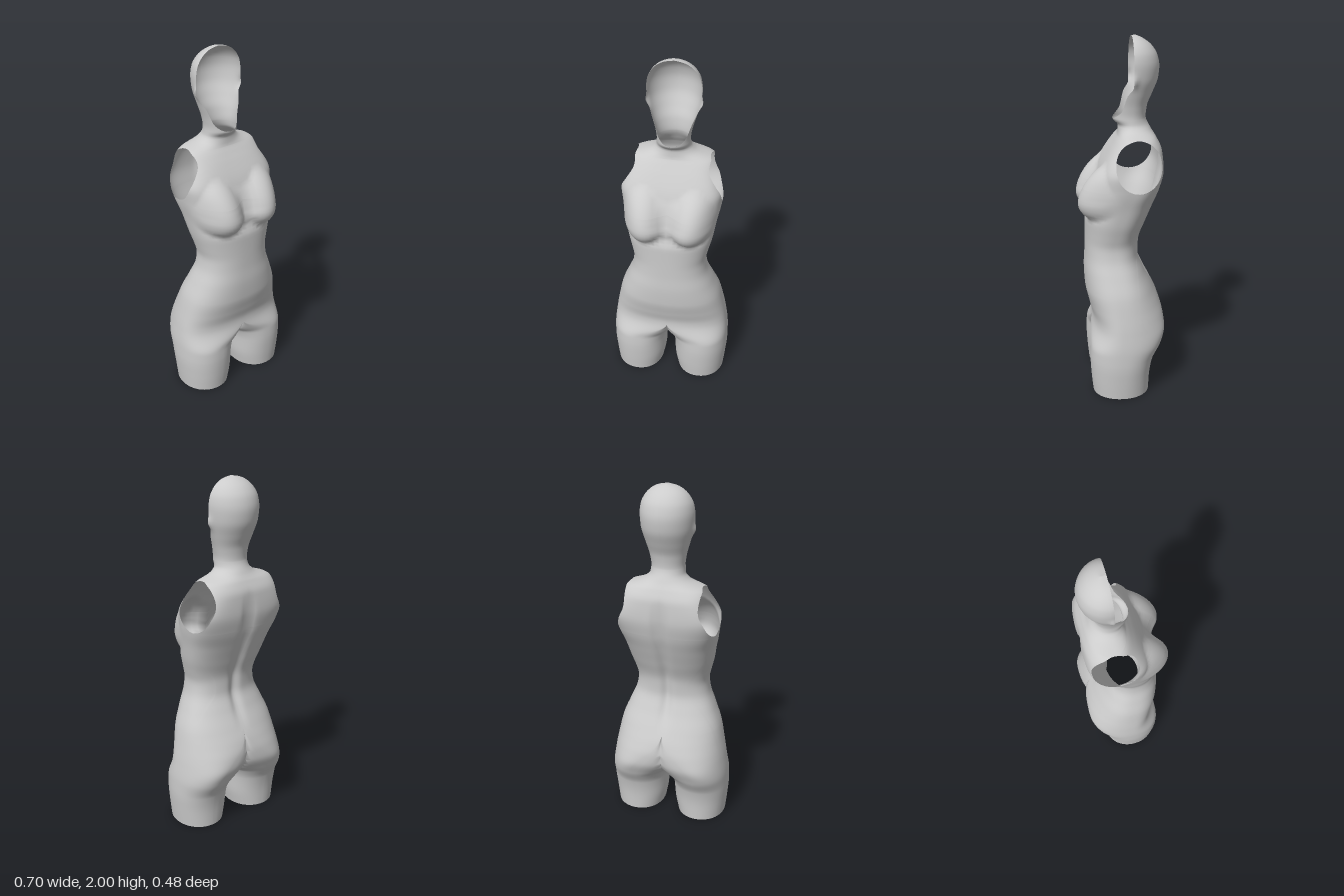
import * as THREE from 'three';

// Smooth monotone curve through [y, value] points
function curve(pts) {
  const n = pts.length, d = [], m = [];
  for (let i = 0; i < n - 1; i++) d.push((pts[i + 1][1] - pts[i][1]) / (pts[i + 1][0] - pts[i][0]));
  for (let i = 0; i < n; i++) {
    const a = d[Math.max(0, i - 1)], b = d[Math.min(n - 2, i)];
    m.push(a * b > 0 ? 2 * a * b / (a + b) : 0);
  }
  return (y) => {
    if (y <= pts[0][0]) return pts[0][1];
    if (y >= pts[n - 1][0]) return pts[n - 1][1];
    let i = 0;
    while (y > pts[i + 1][0]) i++;
    const h = pts[i + 1][0] - pts[i][0], t = (y - pts[i][0]) / h, u = 1 - t;
    return pts[i][1] * (1 + 2 * t) * u * u + h * m[i] * t * u * u
      + pts[i + 1][1] * t * t * (3 - 2 * t) - h * m[i + 1] * t * t * u;
  };
}

// Body outline by height: half width, front, back, depth of widest point, squareness
const width = curve([[0, .335], [.1, .345], [.2, .352], [.28, .35], [.4, .335], [.5, .316], [.6, .293], [.7, .253],
  [.8, .215], [.86, .208], [.92, .22], [1, .24], [1.1, .257], [1.2, .277], [1.28, .285], [1.35, .262], [1.41, .24],
  [1.455, .226], [1.47, .2], [1.485, .15], [1.5, .12], [1.53, .095], [1.57, .091], [1.62, .098], [1.7, .12],
  [1.78, .141], [1.85, .146], [1.9, .139], [1.94, .119], [1.97, .09], [1.99, .053], [2, 0]]);
const front = curve([[0, .18], [.1, .19], [.2, .195], [.3, .19], [.42, .173], [.5, .19], [.6, .211], [.7, .215],
  [.8, .21], [.9, .208], [1, .207], [1.05, .192], [1.1, .18], [1.2, .155], [1.3, .122], [1.4, .068], [1.44, .042],
  [1.48, .02], [1.52, .017], [1.56, .048], [1.9, .05], [2, -.02]]);
const back = curve([[0, -.14], [.1, -.145], [.2, -.162], [.3, -.21], [.39, -.235], [.45, -.23], [.52, -.211],
  [.6, -.175], [.7, -.125], [.8, -.092], [.88, -.096], [1, -.135], [1.1, -.172], [1.2, -.205], [1.3, -.221],
  [1.4, -.215], [1.46, -.19], [1.5, -.165], [1.57, -.135], [1.63, -.142], [1.7, -.17], [1.78, -.2], [1.84, -.206],
  [1.9, -.194], [1.95, -.162], [1.985, -.115], [2, -.08]]);
const middle = curve([[0, .02], [.3, .01], [.6, .02], [.85, .05], [1.1, 0], [1.25, -.06], [1.45, -.075],
  [1.55, -.055], [1.75, -.06], [2, -.06]]);
const power = curve([[0, 2.1], [.3, 2.2], [.7, 2.4], [.9, 2.3], [1.1, 2.6], [1.2, 3], [1.34, 3.8], [1.42, 3.2],
  [1.48, 2.2], [1.55, 2], [2, 2]]);
// Inner thigh and the rim of the open face
const thighInner = curve([[0, .05], [.1, .032], [.2, .027], [.27, .008], [.3, -.03], [.45, -.25]]);
const faceRim = curve([[1.56, .048], [1.57, .035], [1.605, .002], [1.69, -.024], [1.74, -.055], [2, -.055]]);

const step = THREE.MathUtils.smoothstep, lerp = THREE.MathUtils.lerp;
const bell = (v, c, r) => Math.exp(-(((v - c) / r) ** 2));
const ARM = { y: 1.335, z: -.075, ry: .135, rz: .125 };
const LEG_X = .19, NF = 24, NB = 24, NI = 24;

// Angle (0 at the front, PI at the back) where a section passes depth z
function angleAt(y, z) {
  const m = middle(y), d = z > m ? front(y) - m : m - back(y);
  const r = THREE.MathUtils.clamp((z - m) / Math.max(d, 1e-6), -1, 1);
  return Math.acos(Math.sign(r) * Math.pow(Math.abs(r), power(y) / 2));
}

// A point on the left half of the body; inner = the inside of the thigh
function bodyPoint(y, a, inner) {
  const c = Math.cos(a), s = Math.max(0, Math.sin(a)), e = 2 / power(y), m = middle(y), w = width(y);
  let z = m + Math.sign(c) * Math.pow(Math.abs(c), e) * (c > 0 ? front(y) - m : m - back(y));
  const side = Math.pow(s < 1e-9 ? 0 : s, e);
  let x = inner ? 0 : w * side;
  // Thighs merge into the hips, sooner in front than behind
  if (y < .6) {
    const merge = lerp(step(y, .3, .58), step(y, .27, .4), (c + 1) / 2);
    const leg = inner ? LEG_X - (LEG_X - thighInner(y)) * side : LEG_X + (w - LEG_X) * side;
    x = Math.max(0, lerp(leg, x, merge));
  }
  // Breasts
  const r2 = ((x - .14) / .125) ** 2 + ((y - 1.13) / (y < 1.13 ? .105 : .2)) ** 2;
  if (c > 0 && r2 < 1) z += .085 * Math.pow(1 - r2, y < 1.13 ? .75 : .9) * step(c, 0, .4);
  // Spine groove
  if (c < 0) z += .02 * bell(x, 0, .03) * step(y, .55, .75) * (1 - step(y, 1.25, 1.45));
  // Ears
  x += .012 * bell(y, 1.77, .03) * bell(z, -.06, .02);
  return [x, y, z];
}

// One half ring as three strips: front, back and inner thigh
function ring(y) {
  const half = ARM.rz * Math.sqrt(Math.max(0, 1 - ((y - ARM.y) / ARM.ry) ** 2));
  const start = y > 1.56 ? angleAt(y, faceRim(y)) : 0;
  const armFront = angleAt(y, ARM.z + half), armBack = angleAt(y, ARM.z - half);
  const strip = (n, a, b, inner) =>
    Array.from({ length: n + 1 }, (_, i) => bodyPoint(y, lerp(a, b, i / n), inner));
  return [strip(NF, start, armFront, false), strip(NB, armBack, Math.PI, false), strip(NI, Math.PI, 0, true)];
}

export function createModel() {
  // Heights of the rings, closer together where the form turns quickly
  const heights = [0];
  const rows = (n, from, to, ease = (t) => t) => {
    for (let i = 1; i <= n; i++) heights.push(lerp(from, to, ease(i / n)));
  };
  rows(8, 0, .2);
  rows(32, .2, .6);
  rows(32, .6, 1.2);
  rows(24, 1.2, 1.47, (t) => (1 - Math.cos(Math.PI * t)) / 2);
  rows(10, 1.47, 1.56);
  rows(20, 1.56, 1.8, (t) => Math.pow(t, 1.4));
  rows(18, 1.8, 2, (t) => Math.sin(t * Math.PI / 2));
  const rings = heights.map(ring);

  // Welded vertices, with faces sorted by part
  const positions = [], ids = new Map();
  const parts = { thighs: [], torso: [], neckAndHead: [] };
  const vertex = (p) => {
    const key = p.map((v) => Math.round(v * 2e4)).join();
    if (!ids.has(key)) {
      ids.set(key, positions.length / 3);
      positions.push(...p);
    }
    return ids.get(key);
  };
  const triangle = (list, ...pts) => {
    if (pts.every((p) => Math.abs(p[0]) < 1e-5)) return;
    const [a, b, c] = pts.map(vertex);
    if (a !== b && b !== c && c !== a) list.push(a, b, c);
  };
  const flip = ([x, y, z]) => [-x, y, z];

  for (let i = 0; i < rings.length - 1; i++) {
    const y = heights[i];
    const list = y < .3 ? parts.thighs : y < 1.5 ? parts.torso : parts.neckAndHead;
    rings[i].forEach((strip, k) => {
      if (k === 2 && y >= .6) return;
      const above = rings[i + 1][k];
      for (let j = 0; j < strip.length - 1; j++) {
        const a = strip[j], b = strip[j + 1], c = above[j + 1], d = above[j];
        triangle(list, a, b, c);
        triangle(list, a, c, d);
        triangle(list, flip(a), flip(c), flip(b));
        triangle(list, flip(a), flip(d), flip(c));
      }
    });
  }

  // Shared normals keep the skin smooth across the parts
  const skin = new THREE.BufferGeometry();
  skin.setAttribute('position', new THREE.Float32BufferAttribute(positions, 3));
  skin.setIndex(Object.values(parts).flat());
  skin.computeVertexNormals();

  const material = new THREE.MeshStandardMaterial({ color: 0xcccccc, side: THREE.DoubleSide });
  const group = new THREE.Group();
  group.name = 'mannequin';
  for (const [name, index] of Object.entries(parts)) {
    const geometry = new THREE.BufferGeometry();
    geometry.setAttribute('position', skin.attributes.position);
    geometry.setAttribute('normal', skin.attributes.normal);
    geometry.setIndex(index);
    const mesh = new THREE.Mesh(geometry, material);
    mesh.name = name;
    group.add(mesh);
  }
  return group;
}
